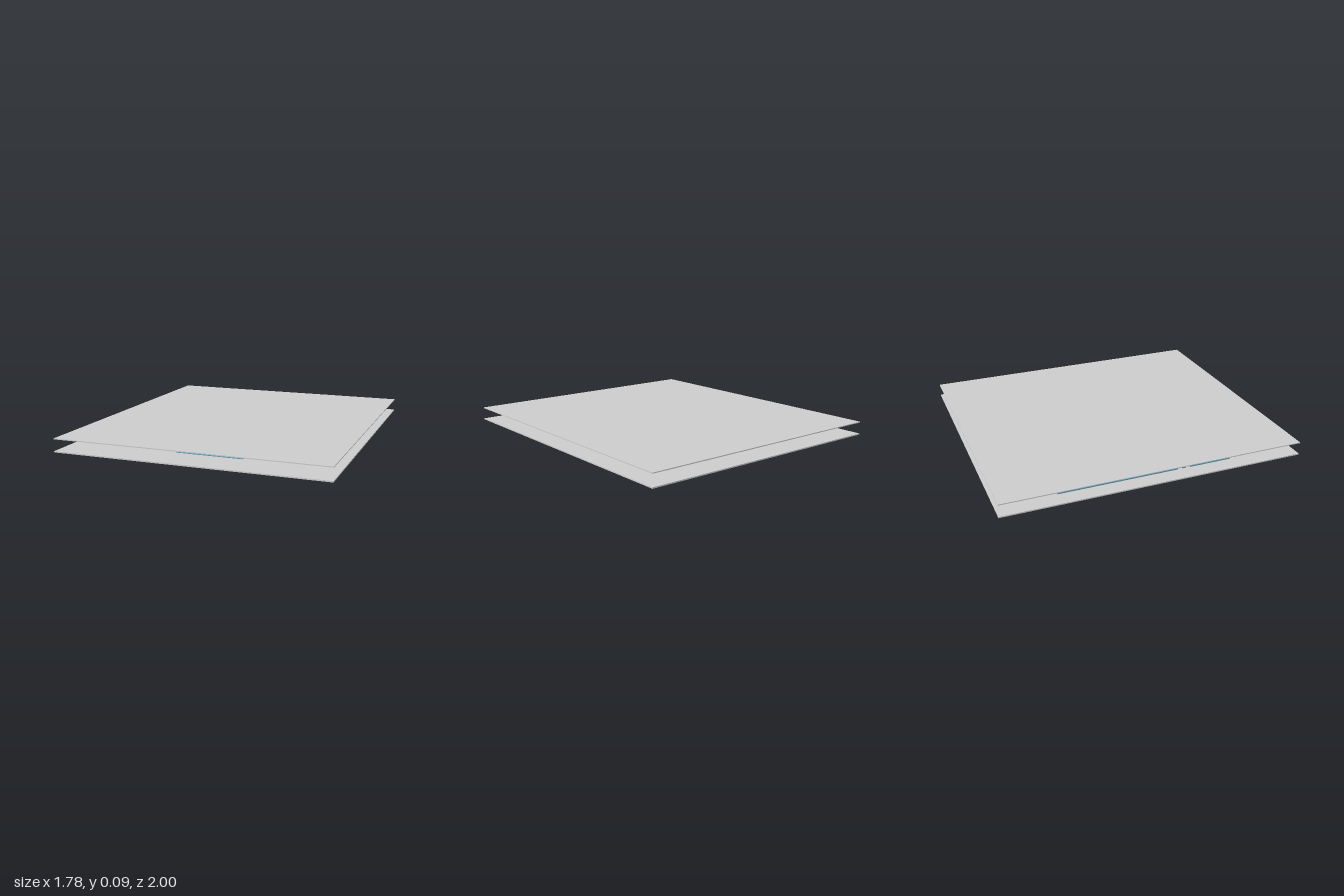
import * as THREE from 'three';

const FLOOR = 0.008, CEILING = 0.084, TOP = 0.09, T = 0.03;

export function createModel() {
  const model = new THREE.Group();
  const grey = new THREE.MeshStandardMaterial({ color: 0xcccccc });
  const blue = new THREE.MeshStandardMaterial({ color: 0x4ba3cc });

  function box(name, material, x0, x1, y0, y1, z0, z1) {
    const mesh = new THREE.Mesh(new THREE.BoxGeometry(x1 - x0, y1 - y0, z1 - z0), material);
    mesh.name = name;
    mesh.position.set((x0 + x1) / 2, (y0 + y1) / 2, (z0 + z1) / 2);
    model.add(mesh);
  }

  // Wall running along x, between x0 and x1, starting at depth z
  const wallX = (name, x0, x1, z) => box(name, blue, x0, x1, FLOOR, CEILING, z, z + T);

  // Wall running along z; openings are [z0, z1, y0, y1], doors reach the floor
  function wallZ(name, x, z0, z1, openings = []) {
    let z = z0;
    for (const [a, b, low, high] of openings) {
      box(name, blue, x, x + T, FLOOR, CEILING, z, a);
      if (low > FLOOR) box(name + 'Sill', blue, x, x + T, FLOOR, low, a, b);
      box(name + 'Lintel', blue, x, x + T, high, CEILING, a, b);
      z = b;
    }
    box(name, blue, x, x + T, FLOOR, CEILING, z, z1);
  }

  // Floor and roof slabs
  box('floorSlab', grey, -0.89, 0.89, 0, FLOOR, -1, 1);
  box('roofSlab', grey, -0.89, 0.89, CEILING, TOP, -1, 1);

  // Windows and a pair of doors, in line through the building
  const openings = [
    [0, 0.155, 0.035, 0.058],
    [0.176, 0.209, FLOOR, 0.056],
    [0.23, 0.263, FLOOR, 0.056],
    [0.273, 0.433, 0.03, 0.058],
  ];

  // Side walls
  wallZ('leftWall', 0.7, -0.295, 0.545, openings);
  wallZ('rightWall', -0.785, -0.615, 0.545, openings);
  wallZ('partition', -0.165, -0.42, 0.545, openings);

  // Stepped front walls
  wallX('frontWall', -0.785, -0.135, 0.515);
  wallX('frontWall', 0.247, 0.73, 0.515);
  wallX('bayFront', -0.165, 0.277, 0.735);
  wallZ('baySide', -0.165, 0.515, 0.765);
  wallZ('baySide', 0.247, 0.515, 0.765);

  // Stepped back walls
  wallX('backWall', 0.247, 0.73, -0.295);
  wallZ('backSide', 0.247, -0.81, -0.265);
  wallX('backWall', -0.635, 0.277, -0.81);
  wallZ('backSide', -0.635, -0.81, -0.585);
  wallX('backWall', -0.785, -0.605, -0.615);

  // Inner cross walls
  wallX('crossWall', -0.635, 0.277, -0.42);
  box('doorDivider', blue, -0.165, 0.73, FLOOR, CEILING, 0.209, 0.23);

  return model;
}
